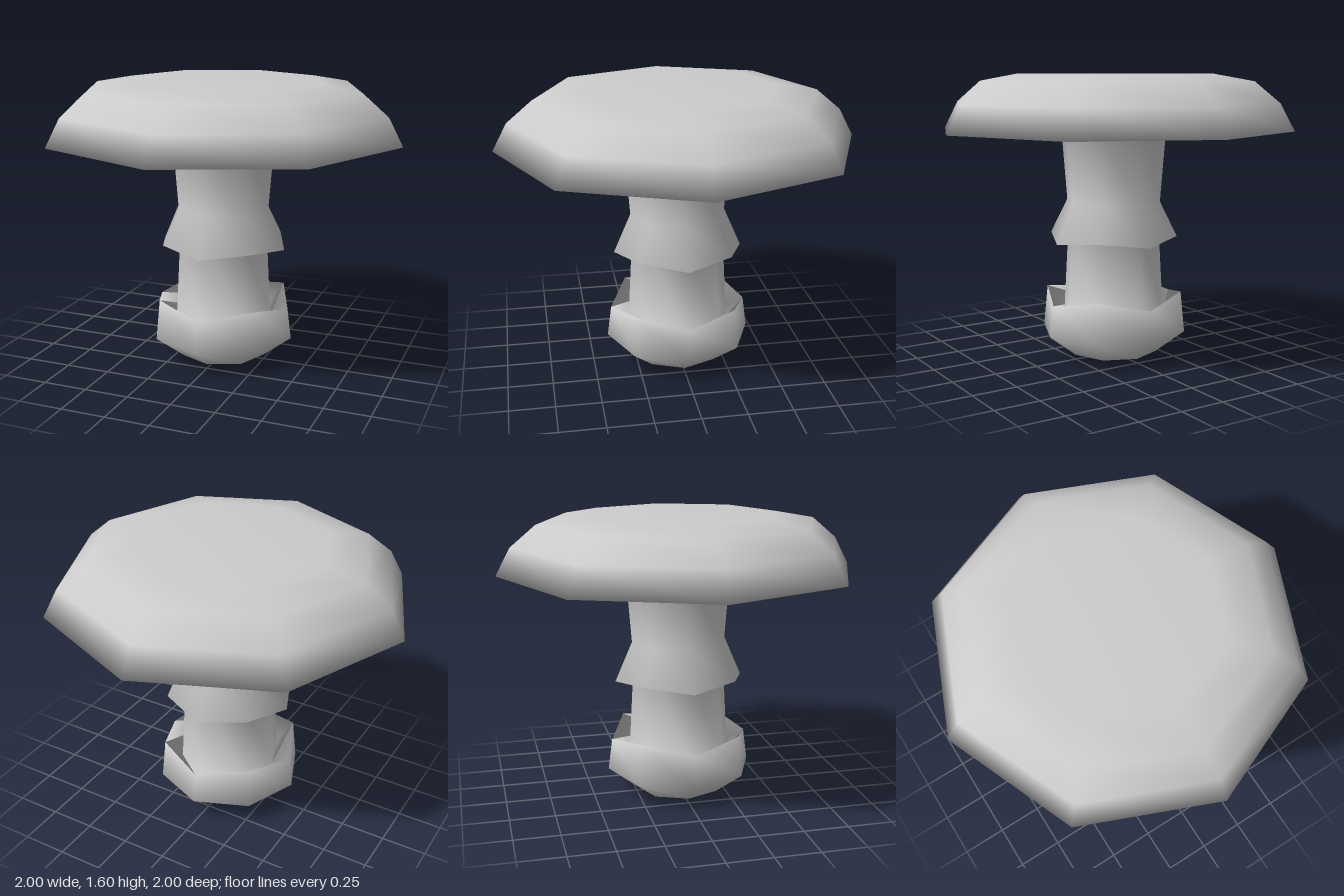
import * as THREE from 'three';
import { mergeVertices } from 'three/addons/utils/BufferGeometryUtils.js';

const SIDES = 8;

// Eight-sided turned part with smooth normals.
// Profile points are [radius, y, lift]; lift raises every second corner.
function turned(name, profile) {
  let geo = new THREE.LatheGeometry(profile.map(([r, y]) => new THREE.Vector2(r, y)), SIDES);
  const pos = geo.attributes.position;
  for (let i = 0; i <= SIDES; i++) {
    profile.forEach(([, y, lift = 0], j) => {
      pos.setY(i * profile.length + j, y + (i % 2) * lift);
    });
  }
  // Weld the seam so shading runs smoothly all round
  geo.deleteAttribute('uv');
  geo.deleteAttribute('normal');
  geo = mergeVertices(geo, 1e-4);
  geo.computeVertexNormals();
  const mesh = new THREE.Mesh(
    geo,
    new THREE.MeshStandardMaterial({ color: 0xcccccc, side: THREE.DoubleSide })
  );
  mesh.name = name;
  return mesh;
}

export function createModel() {
  const group = new THREE.Group();
  group.name = 'mushroom';

  // Stalk: bulbous foot, wavy lip with a groove, stem, flared wavy skirt, neck
  group.add(turned('stalk', [
    [0, 0], [0.25, 0.025], [0.413, 0.15], [0.39, 0.325, 0.055],
    [0.288, 0.27], [0.262, 0.74], [0.365, 0.667, 0.03],
    [0.268, 0.89], [0.3, 1.29], [0.42, 1.321],
  ]));

  // Cap: hollow underside, rim, rounded shoulder and flat top
  group.add(turned('cap', [
    [0.42, 1.321], [0.8, 1.42], [1, 1.29],
    [0.92, 1.44], [0.78, 1.557], [0.56, 1.597], [0, 1.597],
  ]));

  return group;
}
